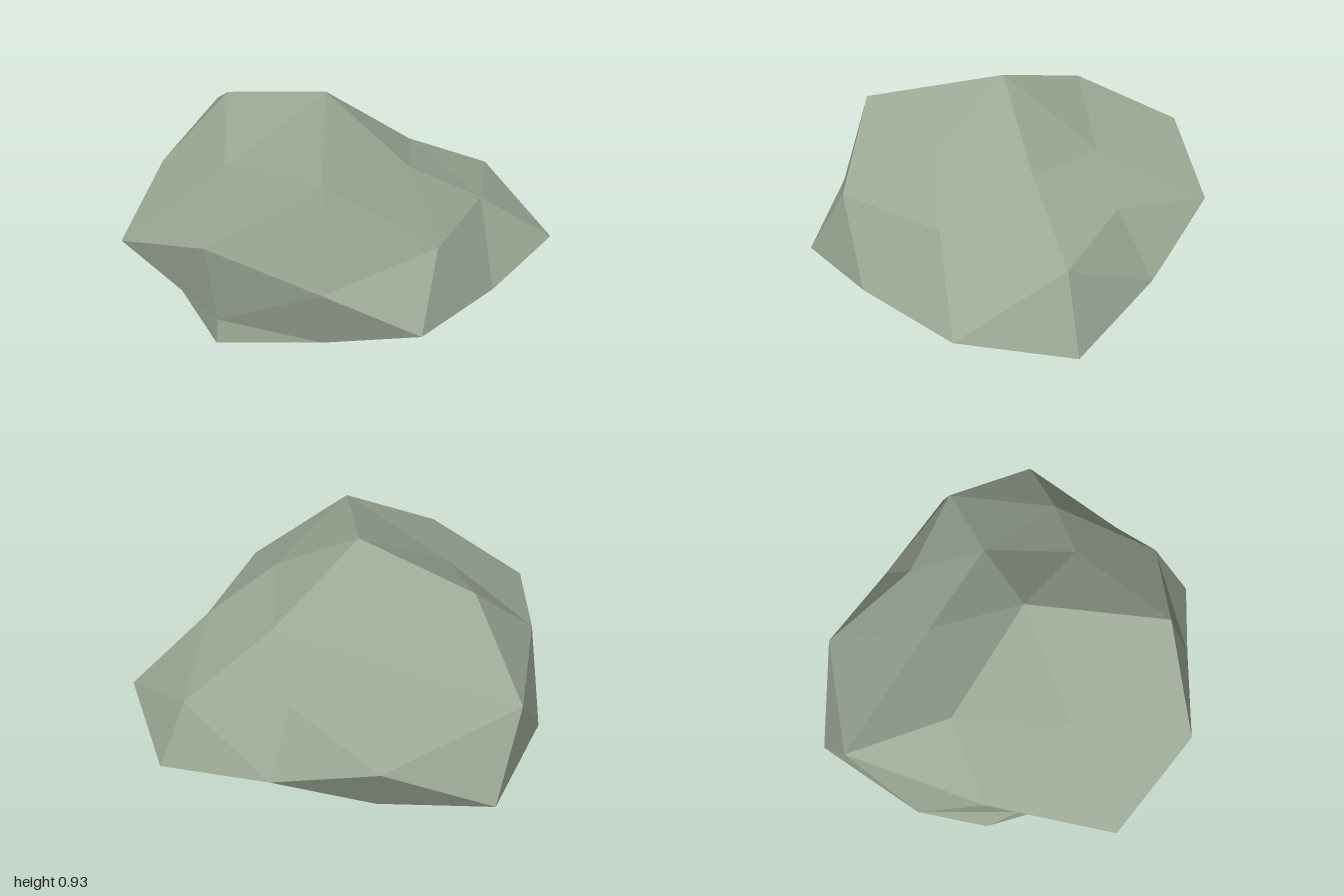
import * as THREE from 'three';

// Radius factors for each family of directions on a once-divided icosahedron.
// Keys give the signs of x, y and z (0 where the component is zero).
const RADII = {
  // axis points
  'axis': { '0+0': 1.19, '0-0': 0.9, '+00': 0.955, '-00': 0.99, '00+': 0.91, '00-': 0.93 },
  // corners of the icosahedron
  'corner': {
    '-+0': 1.16, '++0': 0.91, '--0': 0.9, '+-0': 0.9,
    '0++': 1.145, '0+-': 0.845, '0-+': 1.09, '0--': 0.85,
    '+0+': 0.995, '-0+': 0.825, '+0-': 1.18, '-0-': 1.16,
  },
  // edge midpoints, grouped by height: near the crown, the shoulder, the skirt
  'crown': { '+++': 1.2, '-++': 0.92, '++-': 0.83, '-+-': 0.81, '+-+': 0.9, '--+': 0.9, '+--': 0.85, '---': 0.8 },
  'shoulder': { '+++': 0.987, '-++': 1.01, '++-': 0.91, '-+-': 1.23, '+-+': 0.94, '--+': 1.04, '+--': 0.84, '---': 0.75 },
  'skirt': { '+++': 0.9, '-++': 1.125, '++-': 1.03, '-+-': 1.073, '+-+': 0.82, '--+': 0.84, '+--': 1.2, '---': 0.9 },
};
const CENTRE_Y = 0.12; // height of the widest ring
const SQUASH = 0.68; // vertical flattening

const sign = (v) => (Math.abs(v) < 0.01 ? '0' : v > 0 ? '+' : '-');

function radiusFor(d) {
  const key = sign(d.x) + sign(d.y) + sign(d.z);
  const zeros = key.split('0').length - 1;
  const h = Math.abs(d.y);
  const family = zeros === 2 ? 'axis' : zeros === 1 ? 'corner'
    : h > 0.7 ? 'crown' : h > 0.4 ? 'shoulder' : 'skirt';
  return RADII[family][key];
}

export function createModel() {
  const stone = new THREE.MeshStandardMaterial({ color: 0x9ba794, flatShading: true });
  stone.name = 'mossy grey stone';

  // Boulder: faceted ball pushed in and out, squashed and cut flat at the ground
  const geometry = new THREE.IcosahedronGeometry(1, 1);
  const pos = geometry.attributes.position;
  const d = new THREE.Vector3();
  for (let i = 0; i < pos.count; i++) {
    d.fromBufferAttribute(pos, i).normalize();
    const r = radiusFor(d);
    pos.setXYZ(i, d.x * r, Math.max(0, CENTRE_Y + d.y * r * SQUASH), d.z * r);
  }
  geometry.computeVertexNormals();

  const boulder = new THREE.Mesh(geometry, stone);
  boulder.name = 'boulder';

  const group = new THREE.Group();
  group.name = 'rock';
  group.add(boulder);
  return group;
}
